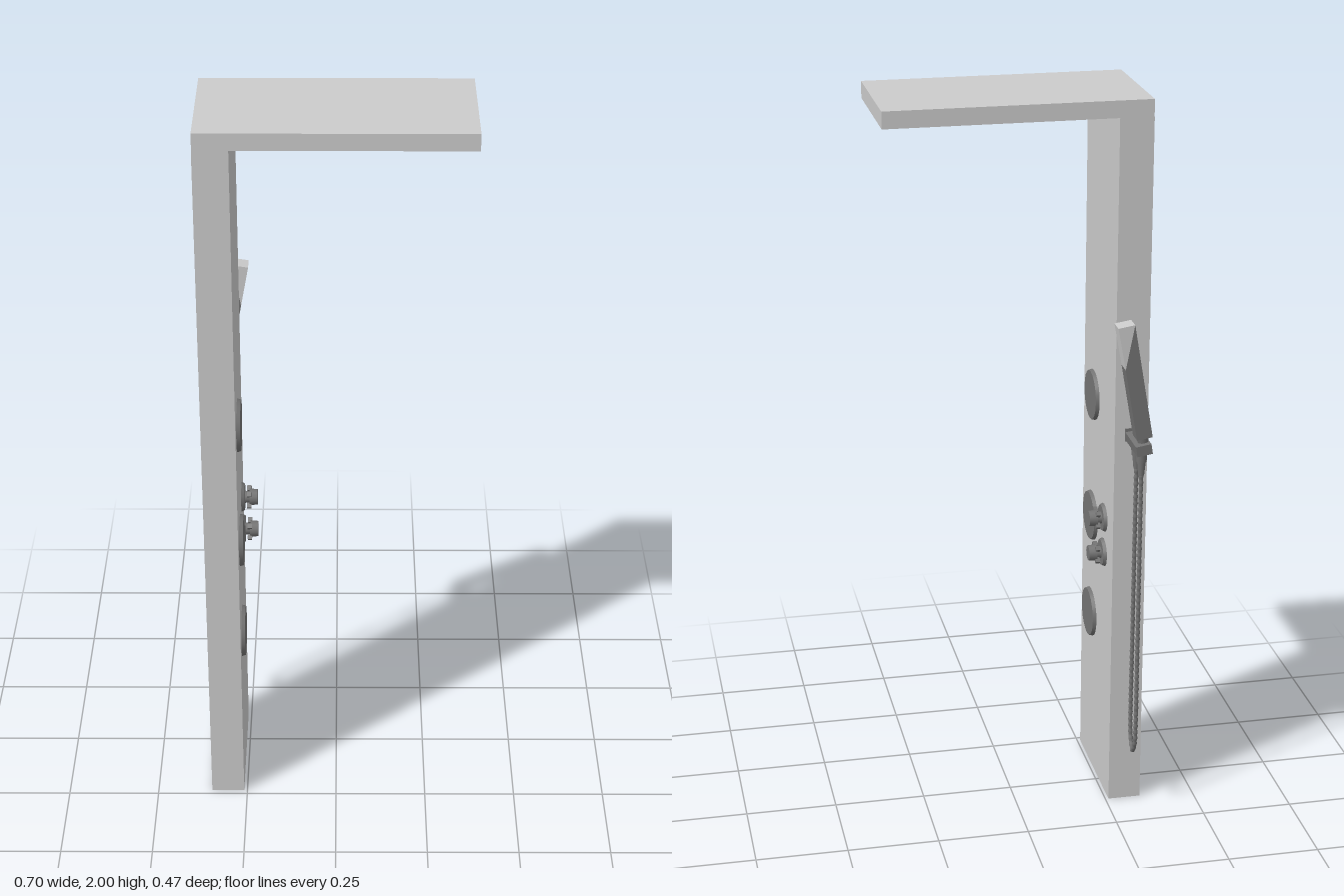
import * as THREE from 'three';

const light = new THREE.MeshStandardMaterial({ color: 0xcccccc });
const dark = new THREE.MeshStandardMaterial({ color: 0x747474 });

export function createModel() {
  const root = new THREE.Group();
  root.name = 'showerPanel';

  const add = (name, geometry, material, x = 0, y = 0, z = 0, parent = root) => {
    const mesh = new THREE.Mesh(geometry, material);
    mesh.name = name;
    mesh.position.set(x, y, z);
    parent.add(mesh);
    return mesh;
  };
  // Cylinder lying along x, its narrow or wide end towards +x
  const discX = (rOuter, rInner, length, sides) =>
    new THREE.CylinderGeometry(rOuter, rInner, length, sides).rotateZ(-Math.PI / 2);
  // Prism with an x-y outline between two z positions
  const prism = (points, z0, z1) => {
    const shape = new THREE.Shape(points.map(([x, y]) => new THREE.Vector2(x, y)));
    return new THREE.ExtrudeGeometry(shape, { depth: z1 - z0, bevelEnabled: false }).translate(0, 0, z0);
  };

  // Column and overhead slab
  add('column', new THREE.BoxGeometry(0.09, 1.955, 0.353), light, -0.304, 0.9775, 0.0585);
  add('overheadSlab', new THREE.BoxGeometry(0.697, 0.045, 0.353), light, 0, 1.9775, 0.0585);
  add('rainHead', new THREE.CylinderGeometry(0.115, 0.115, 0.01, 32), dark, 0.19, 1.951, 0.055);

  // Body jets
  for (const y of [1.128, 0.77, 0.473]) {
    add('bodyJet', discX(0.068, 0.071, 0.011, 20), dark, -0.2545, y, 0.125);
  }

  // Control knobs: rosette, stem and grip with four short lugs
  for (const y of [0.82, 0.717]) {
    const knob = new THREE.Group();
    knob.name = 'controlKnob';
    knob.position.set(-0.26, y, -0.015);
    root.add(knob);
    add('rosette', discX(0.036, 0.041, 0.01, 12), dark, 0.005, 0, 0, knob);
    add('stem', discX(0.015, 0.017, 0.02, 12), dark, 0.017, 0, 0, knob);
    add('grip', discX(0.021, 0.023, 0.022, 12), dark, 0.034, 0, 0, knob);
    for (let i = 0; i < 4; i++) {
      const a = Math.PI / 4 + i * Math.PI / 2;
      const lug = add('lug', new THREE.BoxGeometry(0.012, 0.014, 0.012), dark,
        0.022, Math.cos(a) * 0.024, Math.sin(a) * 0.024, knob);
      lug.rotation.x = a;
    }
  }

  // Wall arm and holder for the hand shower, tilted with the handset
  const tilt = -0.16;
  const arm = add('holderArm', new THREE.BoxGeometry(0.042, 0.028, 0.122), dark, -0.31, 1.096, -0.175);
  arm.rotation.z = tilt;
  add('armFlange', new THREE.BoxGeometry(0.046, 0.036, 0.008), dark, -0.31, 1.098, -0.118);
  const neck = add('handsetNeck', new THREE.CylinderGeometry(0.017, 0.014, 0.03, 12), dark, -0.312, 1.119, -0.207);
  neck.rotation.z = tilt;

  // Hand shower: leaning bar with a wedge-shaped spray head
  add('handset', prism([[-0.333, 1.13], [-0.291, 1.123], [-0.257, 1.32], [-0.28, 1.441]], -0.23, -0.185), dark);
  add('sprayHead', prism([[-0.257, 1.32], [-0.236, 1.434], [-0.28, 1.441]], -0.23, -0.185), light);

  // Hose connectors
  for (const z of [-0.156, -0.207]) {
    add('connectorNut', new THREE.CylinderGeometry(0.016, 0.014, 0.03, 12), dark, -0.31, 1.07, z);
    add('connectorTail', new THREE.CylinderGeometry(0.012, 0.008, 0.04, 12), dark, -0.31, 1.036, z);
  }

  // Ribbed hose hanging in a long loop
  const hosePath = new THREE.CatmullRomCurve3([
    [1.03, -0.156], [0.8, -0.153], [0.5, -0.151], [0.27, -0.149], [0.21, -0.156], [0.182, -0.177],
    [0.21, -0.199], [0.27, -0.206], [0.5, -0.207], [0.8, -0.207], [1.03, -0.207],
  ].map(([y, z]) => new THREE.Vector3(-0.31, y, z)));
  const rings = 360, sides = 8;
  const hose = new THREE.TubeGeometry(hosePath, rings, 0.006, sides);
  const pos = hose.attributes.position;
  const p = new THREE.Vector3(), c = new THREE.Vector3();
  for (let i = 0; i <= rings; i++) {
    hosePath.getPointAt(i / rings, c);
    const swell = i % 4 < 2 ? 1.08 : 0.85;
    for (let j = 0; j <= sides; j++) {
      const k = i * (sides + 1) + j;
      p.fromBufferAttribute(pos, k).sub(c).multiplyScalar(swell).add(c);
      pos.setXYZ(k, p.x, p.y, p.z);
    }
  }
  hose.computeVertexNormals();
  add('hose', hose, dark);

  return root;
}
